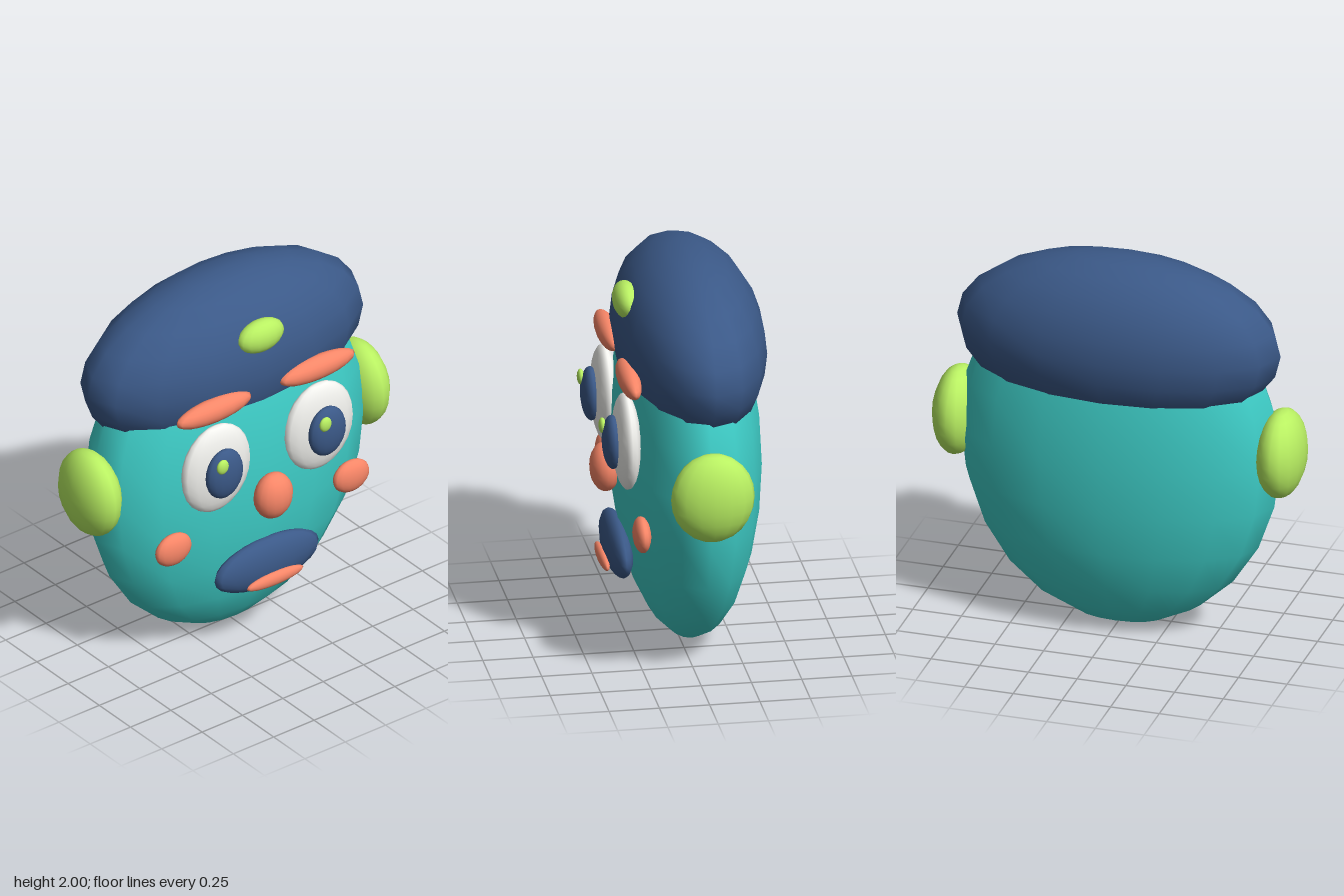
import * as THREE from 'three';

const material = (color) => new THREE.MeshStandardMaterial({ color });

export function createModel() {
  const group = new THREE.Group();
  const teal = material(0x3fd0ca);
  const navy = material(0x3b5988);
  const green = material(0xb9f062);
  const coral = material(0xfa8768);
  const white = material(0xf2f2ee);

  // Every part is a smooth sphere stretched into an ellipsoid
  const sphere = new THREE.SphereGeometry(1, 16, 12);
  const ellipsoid = (name, mat, position, radii) => {
    const mesh = new THREE.Mesh(sphere, mat);
    mesh.name = name;
    mesh.position.set(...position);
    mesh.scale.set(...radii);
    group.add(mesh);
  };

  // Head and cap
  ellipsoid('head', teal, [0, 0.98, -0.043], [0.82, 0.975, 0.36]);
  ellipsoid('cap', navy, [0, 1.56, -0.063], [0.83, 0.44, 0.367]);
  ellipsoid('capBadge', green, [0, 1.764, 0.247], [0.137, 0.088, 0.066]);

  // Paired features
  for (const [side, s] of [['left', 1], ['right', -1]]) {
    ellipsoid(side + 'Ear', green, [s * 0.83, 1.03, -0.045], [0.12, 0.23, 0.208]);
    ellipsoid(side + 'Eye', white, [s * 0.318, 1.147, 0.3], [0.21, 0.245, 0.066]);
    ellipsoid(side + 'Pupil', navy, [s * 0.318, 1.147, 0.368], [0.111, 0.137, 0.05]);
    // Both glints sit on the same side of their pupil
    ellipsoid(side + 'Glint', green, [s * 0.318 - 0.042, 1.221, 0.411], [0.035, 0.04, 0.018]);
    ellipsoid(side + 'Brow', coral, [s * 0.32, 1.475, 0.288], [0.23, 0.064, 0.053]);
    ellipsoid(side + 'Cheek', coral, [s * 0.55, 0.742, 0.261], [0.108, 0.088, 0.044]);
  }

  // Nose and mouth
  ellipsoid('nose', coral, [0, 0.888, 0.35], [0.108, 0.125, 0.078]);
  ellipsoid('mouth', navy, [0, 0.478, 0.296], [0.322, 0.137, 0.067]);
  ellipsoid('lip', coral, [0, 0.413, 0.365], [0.175, 0.037, 0.025]);

  return group;
}
